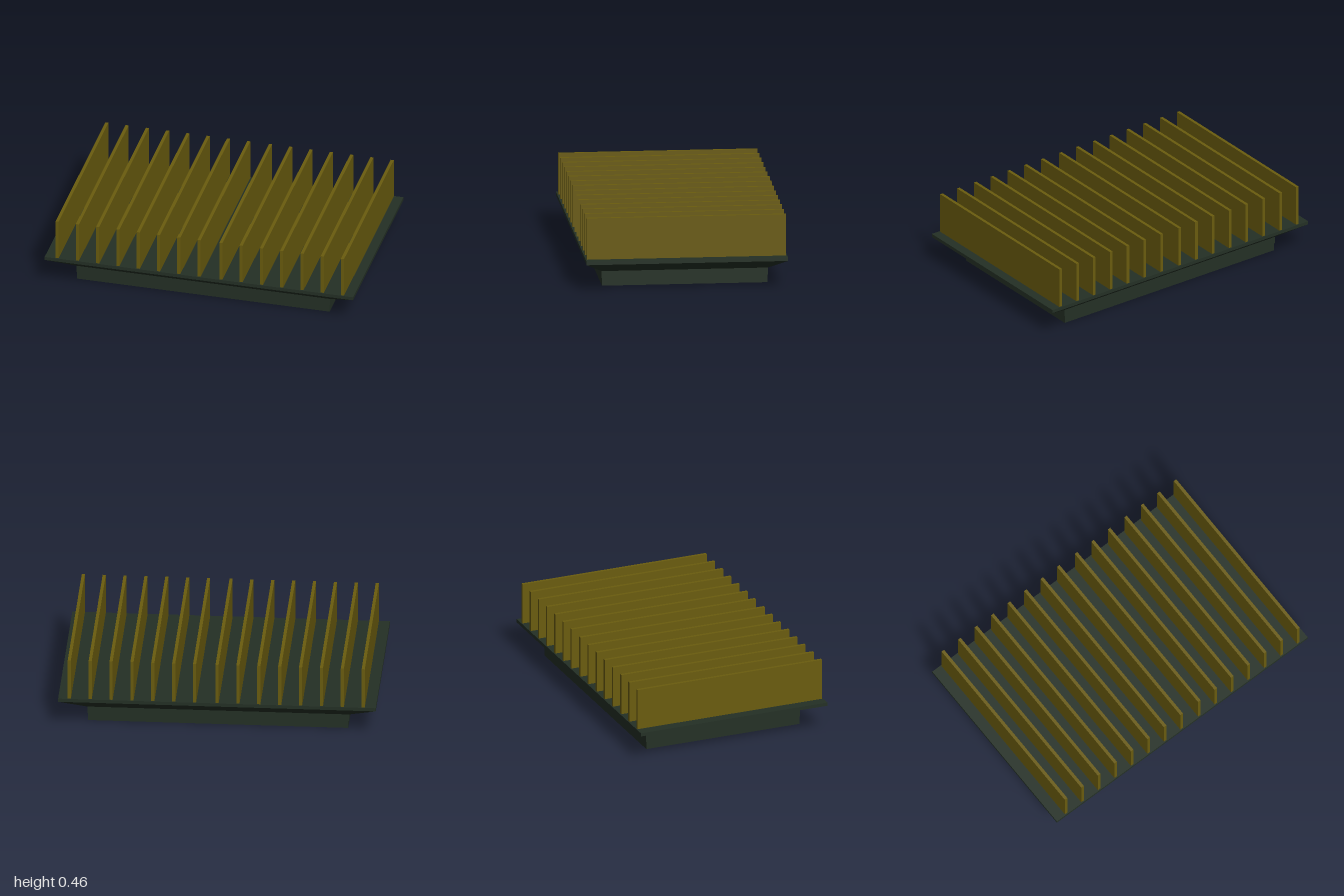
import * as THREE from 'three';

const bodyMat = new THREE.MeshStandardMaterial({ color: 0x243025 });
bodyMat.name = 'dark green body';
const finMat = new THREE.MeshStandardMaterial({ color: 0x6a5c0e });
finMat.name = 'olive brass fin';

// Solid of stacked rectangles, each level [y, half width, half depth]
function rectLoft(levels) {
  const pos = [];
  const ring = ([y, w, d]) => [[-w, y, d], [w, y, d], [w, y, -d], [-w, y, -d]];
  const quad = (a, b, c, d) => pos.push(...a, ...b, ...c, ...a, ...c, ...d);
  const rings = levels.map(ring);
  for (let i = 0; i < rings.length - 1; i++) {
    const lo = rings[i], hi = rings[i + 1];
    for (let k = 0; k < 4; k++) {
      const n = (k + 1) % 4;
      quad(lo[k], lo[n], hi[n], hi[k]);
    }
  }
  const [a, b, c, d] = rings[0];
  quad(d, c, b, a);
  quad(...rings[rings.length - 1]);
  const geo = new THREE.BufferGeometry();
  geo.setAttribute('position', new THREE.Float32BufferAttribute(pos, 3));
  geo.computeVertexNormals();
  return geo;
}

export function createModel() {
  const model = new THREE.Group();
  model.name = 'finnedPanel';
  const add = (name, geo, mat) => {
    const mesh = new THREE.Mesh(geo, mat);
    mesh.name = name;
    model.add(mesh);
    return mesh;
  };

  // Plinth, flared underside and thin top plate in one solid
  add('base', rectLoft([
    [0, 0.819, 0.522],
    [0.05, 0.819, 0.522],
    [0.05, 0.823, 0.525],
    [0.095, 0.823, 0.525],
    [0.175, 1, 0.636],
    [0.197, 1, 0.636],
  ]), bodyMat);

  // Fifteen upright fins, with a slightly wider gap right of the middle
  const finGeo = new THREE.BoxGeometry(0.02, 0.268, 1.258);
  for (let i = 0; i < 15; i++) {
    const fin = add('fin', finGeo, finMat);
    fin.position.set(-0.921 + i * 0.1315 + (i > 7 ? 0.01 : 0), 0.329, 0);
  }
  return model;
}
